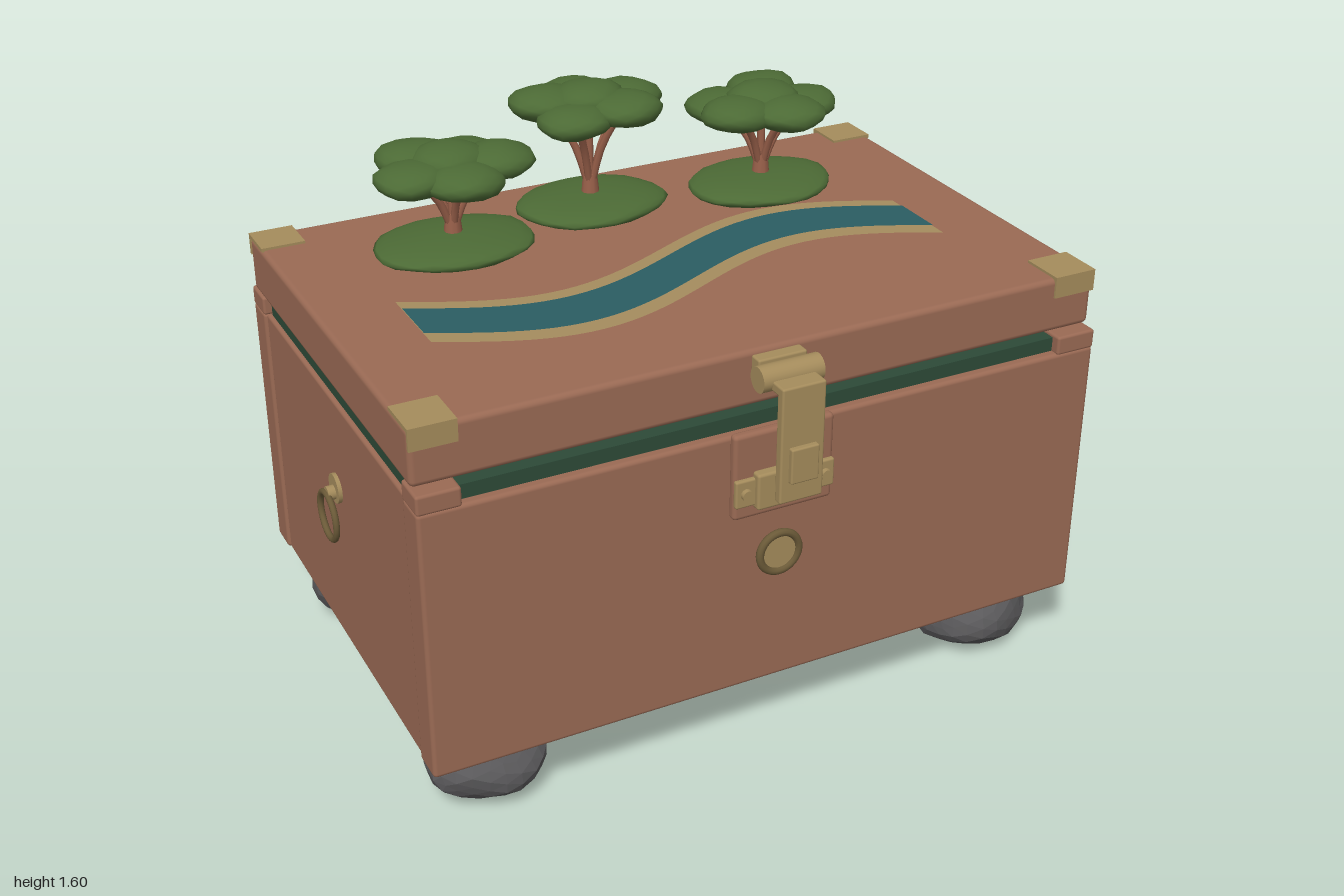
import * as THREE from 'three';
import { mergeVertices } from 'three/addons/utils/BufferGeometryUtils.js';
import { RoundedBoxGeometry } from 'three/addons/geometries/RoundedBoxGeometry.js';

function material(name, color, extra = {}) {
  const m = new THREE.MeshStandardMaterial({ color, ...extra });
  m.name = name;
  return m;
}

export function createModel() {
  const wood = material('wood', 0x9a6a54);
  const bark = material('bark', 0x99604a);
  const brass = material('brass', 0xa58c5c);
  const oldBrass = material('darkBrass', 0x6b5a38);
  const river = material('riverWater', 0x2b5d62, { side: THREE.DoubleSide });
  const sand = material('sand', 0xa58c5e, { side: THREE.DoubleSide });
  const leaf = material('foliage', 0x4c6a35);
  const felt = material('greenLining', 0x2d4a38);
  const stone = material('stone', 0x59585a, { flatShading: true });

  const model = new THREE.Group();
  model.name = 'chest';
  const add = (name, geo, mat, x = 0, y = 0, z = 0, parent = model) => {
    const m = new THREE.Mesh(geo, mat);
    m.name = name;
    m.position.set(x, y, z);
    parent.add(m);
    return m;
  };
  // box given by its limits, with softened edges when r > 0
  const box = (name, mat, [x0, x1], [y0, y1], [z0, z1], r = 0) => {
    const s = [x1 - x0, y1 - y0, z1 - z0];
    const geo = r ? new RoundedBoxGeometry(...s, 2, r) : new THREE.BoxGeometry(...s);
    return add(name, geo, mat, (x0 + x1) / 2, (y0 + y1) / 2, (z0 + z1) / 2);
  };
  // cylinder lying along x or z
  const rod = (name, mat, r, len, axis, x, y, z) => {
    const geo = new THREE.CylinderGeometry(r, r, len, 24);
    if (axis === 'x') geo.rotateZ(Math.PI / 2);
    else geo.rotateX(Math.PI / 2);
    return add(name, geo, mat, x, y, z);
  };
  // irregular ellipsoid
  const blob = (rx, ry, rz, detail, rough, seed) => {
    let geo = new THREE.IcosahedronGeometry(1, detail);
    geo.deleteAttribute('normal');
    geo.deleteAttribute('uv');
    geo = mergeVertices(geo, 1e-4);
    const p = geo.attributes.position;
    const v = new THREE.Vector3();
    for (let i = 0; i < p.count; i++) {
      v.fromBufferAttribute(p, i);
      const n = Math.sin(v.x * 4.1 + seed) * Math.cos(v.y * 3.7 + seed * 2.3)
        + 0.6 * Math.sin(v.z * 5.3 + seed * 1.7 + v.x * 2)
        + 0.3 * Math.sin(v.x * 9 + v.y * 11 + v.z * 10 + seed);
      v.multiplyScalar(1 + rough * n);
      p.setXYZ(i, v.x * rx, v.y * ry, v.z * rz);
    }
    geo.computeVertexNormals();
    return geo;
  };

  // chest boards
  box('frontBoard', wood, [-0.965, 1], [0.22, 1], [0.535, 0.635], 0.012);
  box('backBoard', wood, [-0.965, 1], [0.22, 1], [-0.68, -0.58], 0.012);
  box('leftBoard', wood, [0.89, 0.992], [0.22, 1], [-0.585, 0.54], 0.01);
  box('rightBoard', wood, [-0.957, -0.855], [0.22, 1], [-0.585, 0.54], 0.01);
  box('basePlate', wood, [-0.885, 0.915], [0.19, 0.24], [-0.58, 0.535], 0.008);

  // lining that shows in the gap, and corner blocks
  box('liningLong', felt, [-0.85, 0.885], [0.98, 1.04], [-0.655, 0.608]);
  box('liningWide', felt, [-0.945, 0.98], [0.98, 1.04], [-0.565, 0.52]);
  for (const x of [[-0.965, -0.848], [0.88, 1]])
    for (const z of [[0.535, 0.635], [-0.68, -0.58]])
      box('cornerBlock', wood, x, [0.995, 1.05], z, 0.008);

  // lid with brass corners
  box('lid', wood, [-0.965, 1], [1.055, 1.212], [-0.65, 0.603], 0.016);
  for (const x of [[-0.965, -0.84], [0.873, 1]]) {
    box('cornerTop', brass, x, [1.208, 1.219], [0.48, 0.609]);
    box('cornerTop', brass, x, [1.208, 1.219], [-0.658, -0.535]);
    box('cornerFlap', brass, x, [1.158, 1.215], [0.6, 0.609]);
    box('cornerFlap', brass, x, [1.158, 1.215], [-0.658, -0.648]);
  }

  // stone feet
  [[-0.757, 0.46], [0.787, 0.46], [-0.757, -0.505], [0.787, -0.505]].forEach(([x, z], i) =>
    add('stoneFoot', blob(0.17, 0.098, 0.145, 3, 0.045, i * 1.9 + 0.6), stone, x, 0.107, z));

  // front latch
  box('latchBacking', wood, [-0.13, 0.162], [0.762, 1.01], [0.63, 0.66], 0.012);
  box('latchMount', brass, [-0.055, 0.085], [1.12, 1.2], [0.6, 0.64], 0.006);
  rod('latchBarrel', brass, 0.035, 0.175, 'x', 0.015, 1.163, 0.665);
  box('latchArm', brass, [-0.048, 0.077], [1.14, 1.168], [0.67, 0.75], 0.006);
  box('latchStrap', brass, [-0.048, 0.077], [0.84, 1.168], [0.722, 0.75], 0.006);
  box('latchBump', brass, [-0.025, 0.055], [0.9, 1], [0.735, 0.765], 0.005);
  box('catchPlate', brass, [-0.13, 0.16], [0.805, 0.885], [0.655, 0.672], 0.006);
  box('catchBlock', brass, [-0.075, 0.105], [0.795, 0.9], [0.655, 0.688], 0.008);
  for (const x of [-0.1, 0.132]) rod('catchRivet', brass, 0.016, 0.02, 'z', x, 0.845, 0.675);

  // round lock
  rod('lockDisc', brass, 0.055, 0.02, 'z', 0.015, 0.628, 0.642);
  add('lockRim', new THREE.TorusGeometry(0.058, 0.011, 10, 32), oldBrass, 0.015, 0.628, 0.65);

  // ring handle on the right side
  rod('ringPlate', brass, 0.042, 0.012, 'x', -0.962, 0.725, -0.025);
  rod('ringPin', brass, 0.02, 0.03, 'x', -0.974, 0.715, -0.025);
  add('ringHandle', new THREE.TorusGeometry(0.067, 0.009, 10, 32).rotateY(Math.PI / 2), oldBrass, -0.989, 0.647, -0.025);

  // hinges
  for (const x of [-0.58, 0.61]) {
    const w = [x - 0.073, x + 0.073];
    box('hingeUpperLeaf', brass, w, [1.06, 1.14], [-0.73, -0.645], 0.006);
    box('hingeLowerLeaf', brass, w, [0.818, 1.045], [-0.708, -0.675], 0.006);
    rod('hingeBarrel', brass, 0.038, 0.22, 'x', x, 1.047, -0.724);
  }

  // winding ribbon painted on the lid
  const ribbon = (half, y) => {
    const geo = new THREE.PlaneGeometry(1.53, 2 * half, 40, 1).rotateX(-Math.PI / 2).translate(0.015, y, 0);
    const p = geo.attributes.position;
    for (let i = 0; i < p.count; i++)
      p.setZ(i, p.getZ(i) + 0.08 - 0.122 * Math.sin(Math.PI * (p.getX(i) - 0.025) / 0.76));
    return geo;
  };
  add('riverBanks', ribbon(0.13, 1.2145), sand);
  add('riverWater', ribbon(0.08, 1.2175), river);

  // trees on grassy mounds
  const tree = (x, z, crownY, turn, seed) => {
    const g = new THREE.Group();
    g.name = 'tree';
    g.position.set(x, 0, z);
    model.add(g);
    add('mound', blob(0.225, 0.036, 0.175, 3, 0.03, seed), leaf, 0, 1.246, 0, g);
    const fork = new THREE.Vector3(0, 1.315, 0);
    add('trunk', new THREE.CylinderGeometry(0.02, 0.03, 0.1, 10), bark, 0, 1.285, 0, g);
    for (let i = 0; i < 6; i++) {
      const a = turn + i * Math.PI * 2 / 5;
      const r = i < 5 ? 1 : 0;
      const lx = r * 0.125 * Math.cos(a);
      const lz = r * 0.105 * Math.sin(a);
      const ly = crownY + (r ? 0.012 * Math.sin(i * 2.4 + seed) : 0.022);
      add('leafCluster', blob(0.108, 0.046, 0.1, 2, 0.04, seed + i), leaf, lx, ly, lz, g);
      const end = new THREE.Vector3(lx * 0.9, ly - 0.01, lz * 0.9);
      const mid = new THREE.Vector3(lx * 0.35, (fork.y + ly) / 2 - 0.01, lz * 0.35);
      const path = new THREE.CatmullRomCurve3([fork.clone().setY(1.28), mid, end]);
      add('branch', new THREE.TubeGeometry(path, 6, 0.011, 7), bark, 0, 0, 0, g);
    }
  };
  tree(-0.497, -0.28, 1.468, 0.3, 1.2);
  tree(-0.04, -0.375, 1.54, 1.0, 2.7);
  tree(0.47, -0.29, 1.484, 0.1, 4.1);

  return model;
}
